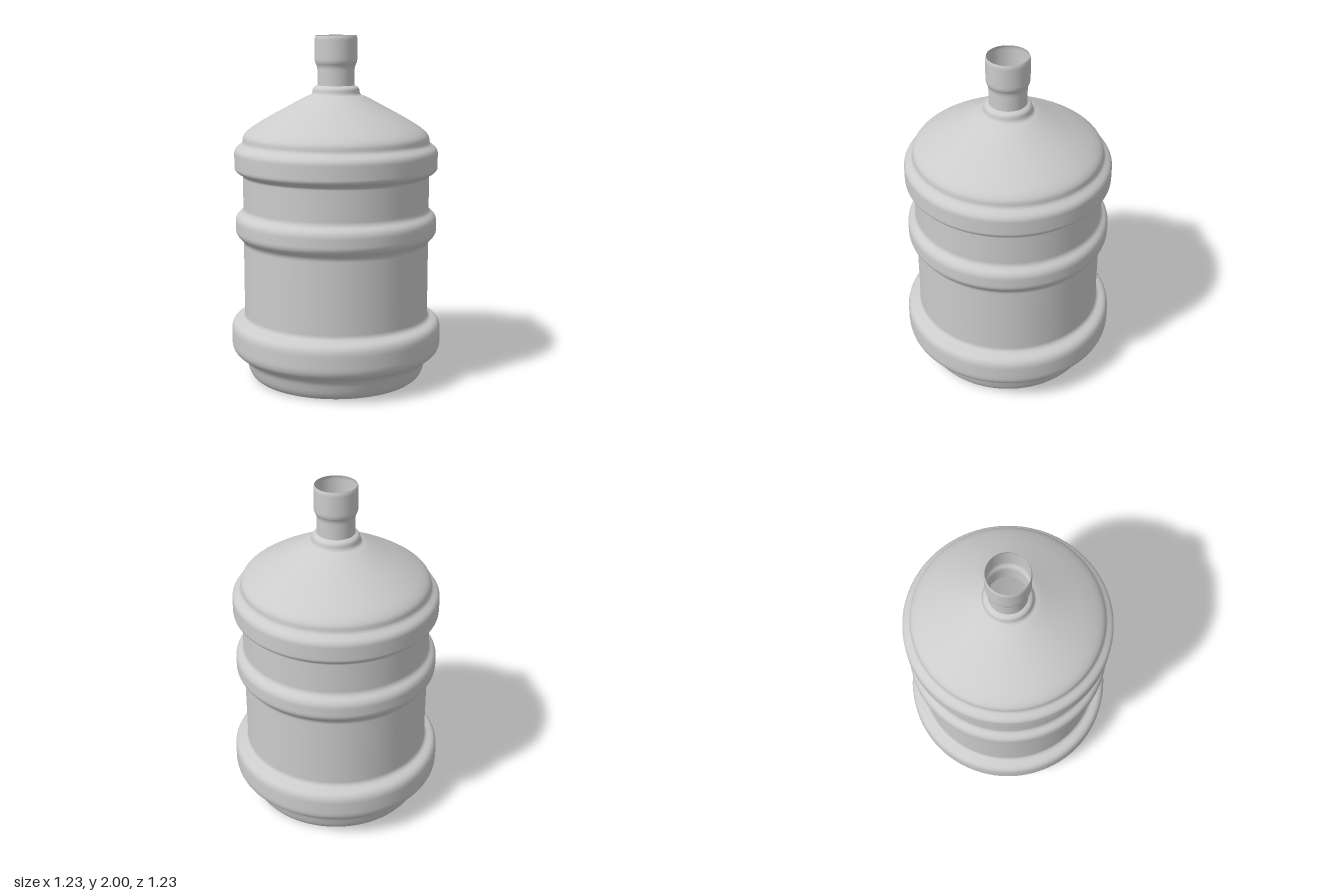
import * as THREE from 'three';

const material = new THREE.MeshStandardMaterial({ color: 0xcccccc, side: THREE.DoubleSide });

// Profile from corners [radius, height, rounding]; each corner is eased with a short curve.
function roundedProfile(corners) {
  const pts = corners.map(([r, y]) => new THREE.Vector2(r, y));
  const out = [pts[0]];
  for (let i = 1; i < pts.length - 1; i++) {
    const p = pts[i], a = pts[i - 1], b = pts[i + 1];
    const cut = (q) => {
      const d = Math.min(corners[i][2], p.distanceTo(q) * 0.48);
      return p.clone().add(q.clone().sub(p).setLength(d));
    };
    out.push(...new THREE.QuadraticBezierCurve(cut(a), p, cut(b)).getPoints(6));
  }
  out.push(pts[pts.length - 1]);
  return out;
}

function turned(name, points) {
  const mesh = new THREE.Mesh(new THREE.LatheGeometry(points, 96), material);
  mesh.name = name;
  return mesh;
}

export function createModel() {
  const group = new THREE.Group();
  group.name = 'waterBottle';

  // Domed recess under the base, running out to the standing ring
  const recess = [];
  for (let i = 0; i <= 14; i++) {
    const r = 0.36 * i / 14;
    recess.push(new THREE.Vector2(r, 0.13 * (1 - (r / 0.36) ** 2) + 0.008));
  }
  recess.push(new THREE.Vector2(0.385, 0.001), new THREE.Vector2(0.41, 0));
  group.add(turned('baseRecess', recess));

  // Body wall with its three raised bands and sloping shoulder
  group.add(turned('body', roundedProfile([
    [0.41, 0, 0],
    [0.505, 0, 0.08], [0.54, 0.13, 0.04],
    [0.617, 0.17, 0.05], [0.617, 0.34, 0.05], [0.54, 0.365, 0.025],
    [0.54, 0.82, 0.02], [0.585, 0.865, 0.025], [0.585, 0.965, 0.03], [0.54, 1.0, 0.02],
    [0.54, 1.205, 0.012], [0.588, 1.235, 0.02], [0.588, 1.355, 0.025], [0.54, 1.39, 0.015],
    [0.535, 1.445, 0.08], [0.42, 1.52, 0.08], [0.17, 1.655, 0.04],
    [0.138, 1.665, 0.02], [0.132, 1.705, 0.015], [0.107, 1.718, 0],
  ])));

  // Open neck with a wider lip
  group.add(turned('neck', roundedProfile([
    [0.107, 1.718, 0],
    [0.107, 1.825, 0.02], [0.122, 1.85, 0.02], [0.122, 1.985, 0.012], [0.117, 2.0, 0],
  ])));

  return group;
}
